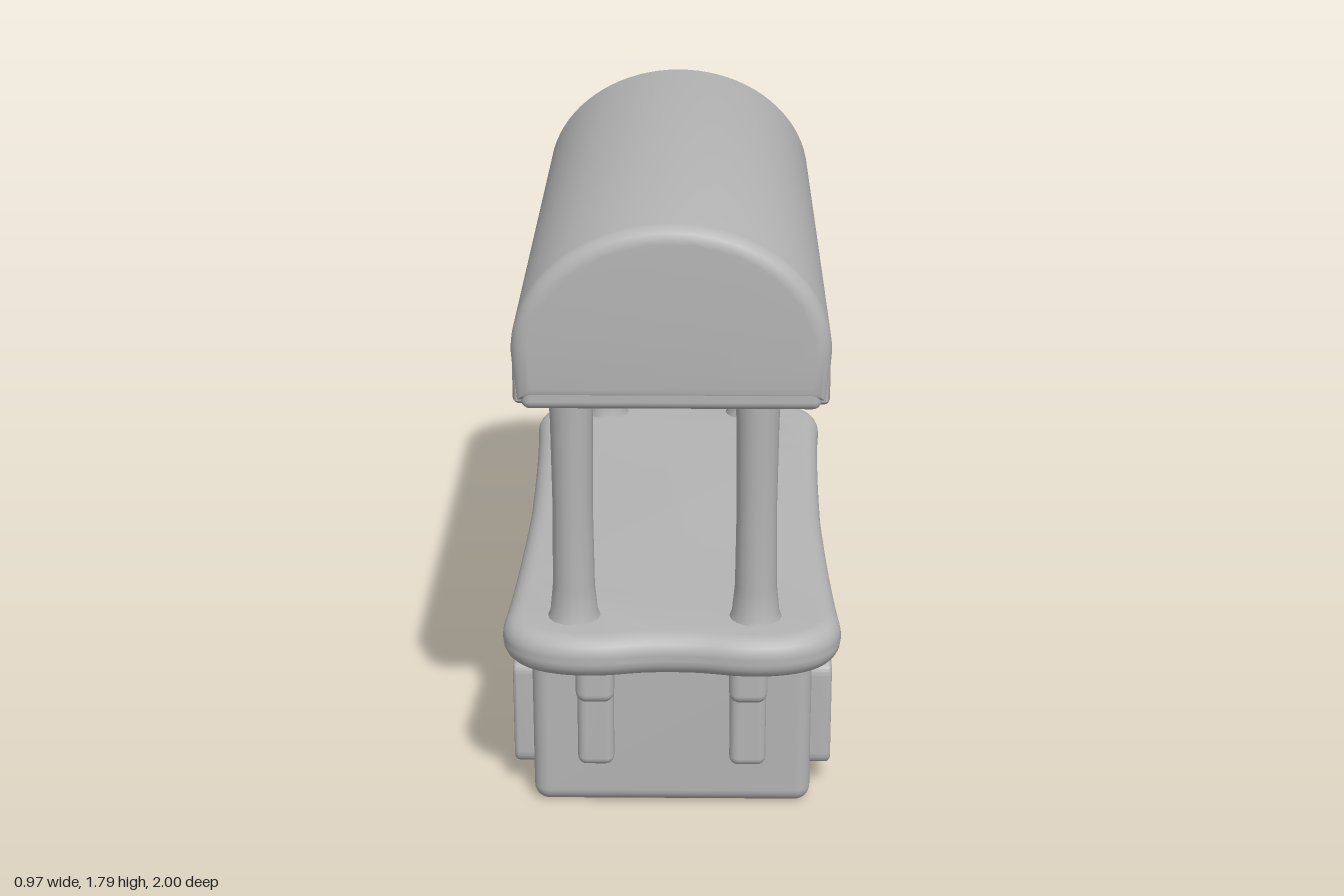
import * as THREE from 'three';
import { toCreasedNormals } from 'three/addons/utils/BufferGeometryUtils.js';
import { RoundedBoxGeometry } from 'three/addons/geometries/RoundedBoxGeometry.js';

const clay = new THREE.MeshStandardMaterial({ color: 0xb4b4b4 });
clay.name = 'grey clay';

// Extrusion centred on its depth, with rounded rims kept inside the outline
function slab(shape, depth, bevel, crease = 0.8) {
  const geo = new THREE.ExtrudeGeometry(shape, {
    depth: depth - 2 * bevel, bevelThickness: bevel, bevelSize: bevel,
    bevelOffset: -bevel, bevelSegments: 5, curveSegments: 20,
  });
  geo.translate(0, 0, bevel - depth / 2);
  return toCreasedNormals(geo, crease);
}

function roundedRect(path, w, h, r) {
  const x = w / 2, y = h / 2;
  path.moveTo(-x + r, -y);
  path.lineTo(x - r, -y);
  path.quadraticCurveTo(x, -y, x, -y + r);
  path.lineTo(x, y - r);
  path.quadraticCurveTo(x, y, x - r, y);
  path.lineTo(-x + r, y);
  path.quadraticCurveTo(-x, y, -x, y - r);
  path.lineTo(-x, -y + r);
  path.quadraticCurveTo(-x, -y, -x + r, -y);
  return path;
}

export function createModel() {
  const group = new THREE.Group();
  const add = (name, geo, x = 0, y = 0, z = 0) => {
    const mesh = new THREE.Mesh(geo, clay);
    mesh.name = name;
    mesh.position.set(x, y, z);
    group.add(mesh);
    return mesh;
  };
  const box = (name, w, h, d, r, x, y, z) =>
    add(name, new RoundedBoxGeometry(w, h, d, 4, r), x, y, z);

  // Barrel canopy
  const arch = new THREE.Shape();
  arch.moveTo(-0.425, 1.3);
  arch.lineTo(0.425, 1.3);
  arch.lineTo(0.436, 1.44);
  arch.absellipse(0, 1.44, 0.436, 0.36, 0, Math.PI, false);
  arch.closePath();
  add('canopy', slab(arch, 1.93, 0.045));

  // Scalloped valance along both long sides
  const valance = new THREE.Shape();
  const knots = [-0.94, -0.61, -0.305, 0, 0.305, 0.61, 0.94];
  valance.moveTo(-0.94, 1.42);
  valance.lineTo(-0.94, 1.3);
  for (let i = 1; i < knots.length; i++) {
    const a = knots[i - 1], b = knots[i], q = (b - a) * 0.25;
    valance.bezierCurveTo(a + q, 1.245, b - q, 1.245, b, i < 6 ? 1.315 : 1.3);
  }
  valance.lineTo(0.94, 1.42);
  valance.closePath();
  const valanceGeo = slab(valance, 0.06, 0.015);
  valanceGeo.rotateY(-Math.PI / 2);
  for (const s of [-1, 1]) {
    add(s > 0 ? 'leftValance' : 'rightValance', valanceGeo, s * 0.403, 0, 0);
    // Lower rim across each end
    box('canopyEndRim', 0.82, 0.1, 0.07, 0.025, 0, 1.33, s * 0.925);
  }

  // Counter top with a soft outline, dipped at the middle of each end
  const top = new THREE.Shape();
  top.moveTo(0.46, 0);
  top.bezierCurveTo(0.465, 0.4, 0.475, 0.65, 0.485, 0.78);
  top.bezierCurveTo(0.5, 0.93, 0.38, 1.0, 0.24, 1.0);
  top.bezierCurveTo(0.13, 1.0, 0.13, 0.975, 0, 0.975);
  top.bezierCurveTo(-0.13, 0.975, -0.13, 1.0, -0.24, 1.0);
  top.bezierCurveTo(-0.38, 1.0, -0.5, 0.93, -0.485, 0.78);
  top.bezierCurveTo(-0.475, 0.65, -0.465, 0.4, -0.46, 0);
  top.bezierCurveTo(-0.465, -0.4, -0.475, -0.65, -0.485, -0.78);
  top.bezierCurveTo(-0.5, -0.93, -0.38, -1.0, -0.24, -1.0);
  top.bezierCurveTo(-0.13, -1.0, -0.13, -0.975, 0, -0.975);
  top.bezierCurveTo(0.13, -0.975, 0.13, -1.0, 0.24, -1.0);
  top.bezierCurveTo(0.38, -1.0, 0.5, -0.93, 0.485, -0.78);
  top.bezierCurveTo(0.475, -0.65, 0.465, -0.4, 0.46, 0);
  const topGeo = slab(top, 0.125, 0.055);
  topGeo.rotateX(Math.PI / 2);
  add('counterTop', topGeo, 0, 0.54, 0);

  // Posts with flared feet
  const postGeo = new THREE.LatheGeometry([
    [0.085, 0.58], [0.068, 0.62], [0.06, 0.7], [0.057, 0.95], [0.06, 1.2], [0.066, 1.34],
  ].map(([r, y]) => new THREE.Vector2(r, y)), 16);
  for (const [x, z] of [[-0.28, 0.815], [0.24, 0.815], [-0.25, -0.855], [0.24, -0.855]])
    add('post', postGeo, x, 0, z);

  // Cabinet linking the two pedestals, open on the left side
  box('middleCabinet', 0.34, 0.47, 0.8, 0.03, -0.225, 0.265, 0);

  // Picture-frame panel for the pedestal sides
  const frame = roundedRect(new THREE.Shape(), 0.36, 0.33, 0.04);
  frame.holes.push(roundedRect(new THREE.Path(), 0.28, 0.24, 0.02));
  const frameGeo = slab(frame, 0.1, 0.015);
  frameGeo.rotateY(Math.PI / 2);

  for (const end of [-1, 1]) {
    box('pedestal', 0.81, 0.5, 0.55, 0.045, 0, 0.255, end * 0.57);
    for (const side of [-1, 1]) {
      add('sideFrame', frameGeo, side * 0.418, 0.245, end * 0.565);
      box('sidePanel', 0.1, 0.27, 0.31, 0.015, side * 0.402, 0.245, end * 0.565);
      // Hanging brackets on the ends
      box('bracketHead', 0.11, 0.13, 0.12, 0.03, side * 0.22, 0.435, end * 0.87);
      box('bracketStem', 0.105, 0.3, 0.08, 0.025, side * 0.22, 0.3, end * 0.848);
    }
  }
  return group;
}
